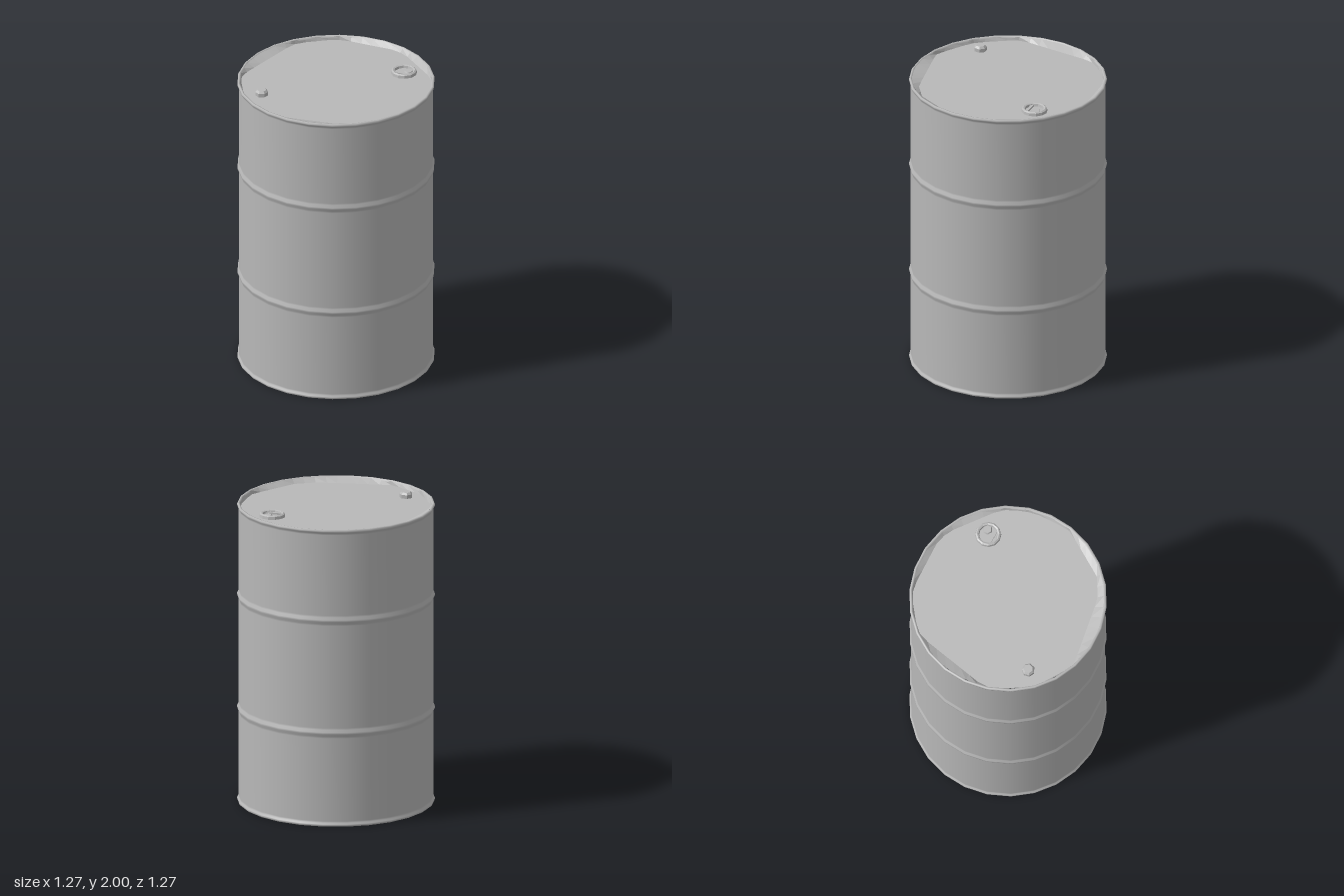
import * as THREE from 'three';

const steel = new THREE.MeshStandardMaterial({ color: 0xb8b8b8 });
steel.name = 'grey steel';

const SIDES = 26, START = -0.063;

function part(name, geometry, parent, x = 0, y = 0, z = 0) {
  const mesh = new THREE.Mesh(geometry, steel);
  mesh.name = name;
  mesh.position.set(x, y, z);
  parent.add(mesh);
  return mesh;
}

const lathe = (pts, sides, start = 0) =>
  new THREE.LatheGeometry(pts.map(([r, y]) => new THREE.Vector2(r, y)), sides, start);

function flat(geometry) {
  const g = geometry.toNonIndexed();
  g.computeVertexNormals();
  return g;
}

// Irregular outline of the sunken end plates, as x, z corners
const outline = [
  [-0.26, -0.57], [0.13, -0.59], [0.22, -0.56], [0.53, -0.33], [0.6, -0.19], [0.61, 0.11],
  [0.42, 0.42], [0.29, 0.5], [-0.19, 0.59], [-0.44, 0.44], [-0.6, 0.18], [-0.49, -0.39],
];

// Distance from the axis to the outline in direction (dx, dz)
function reach(dx, dz) {
  for (let i = 0; i < outline.length; i++) {
    const [ax, az] = outline[i], [bx, bz] = outline[(i + 1) % outline.length];
    const ex = bx - ax, ez = bz - az;
    const den = dx * ez - dz * ex;
    if (Math.abs(den) < 1e-6) continue;
    const t = (ax * ez - az * ex) / den;
    const u = (ax * dz - az * dx) / den;
    if (t > 0 && u >= -1e-6 && u <= 1 + 1e-6) return t;
  }
  return 0.6;
}

// Sloped skirt from the rim down to a flat plate
function endPlate() {
  const g = lathe([[0.619, 0], [0.6, -0.025], [0, -0.025]], SIDES * 2, START);
  const p = g.attributes.position;
  for (let i = 0; i < p.count; i++) {
    const x = p.getX(i), z = p.getZ(i), r = Math.hypot(x, z);
    if (r < 0.1 || p.getY(i) > -0.01) continue;
    const k = Math.min(reach(x / r, z / r), 0.614);
    p.setX(i, x / r * k);
    p.setZ(i, z / r * k);
  }
  return flat(g);
}

export function createModel() {
  const drum = new THREE.Group();
  drum.name = 'drum';

  // Shell with rolled rims and two raised hoops
  const R = 0.628, profile = [
    [0.618, 0.012], [0.622, 0.002], [0.632, 0], [0.638, 0.007], [0.637, 0.016], [0.629, 0.024], [R, 0.035],
  ];
  for (const y of [0.625, 1.38]) {
    profile.push([R, y - 0.035], [R, y - 0.022], [0.637, y - 0.007], [0.637, y + 0.007],
      [R, y + 0.022], [R, y + 0.035]);
  }
  profile.push([R, 1.955], [0.629, 1.966], [0.637, 1.974], [0.638, 1.984], [0.632, 1.992],
    [0.622, 1.99], [0.618, 1.98]);
  part('shell', lathe(profile, SIDES, START), drum);

  // End plates
  part('lid', endPlate(), drum, 0, 1.988, 0);
  part('base', endPlate(), drum, 0, 0.006, 0).rotation.x = Math.PI;

  // Large bung: raised ring, sunken dish and a grip bar
  const bung = new THREE.Group();
  bung.name = 'largeBung';
  bung.position.set(0.325, 1.963, -0.33);
  drum.add(bung);
  part('bungRing', flat(lathe([[0.085, 0], [0.082, 0.018], [0.072, 0.024], [0.062, 0.02],
    [0.058, 0.005], [0, 0.005]], 12)), bung);
  part('bungGrip', new THREE.BoxGeometry(0.11, 0.012, 0.018), bung, 0, 0.01, 0.035);
  part('bungKnob', new THREE.CylinderGeometry(0.028, 0.034, 0.012, 6), bung, 0.025, 0.01, -0.02);

  // Small vent plug
  part('ventPlug', flat(lathe([[0.042, 0], [0.042, 0.024], [0.03, 0.037], [0, 0.037]], 7)),
    drum, -0.36, 1.963, 0.353);

  return drum;
}
